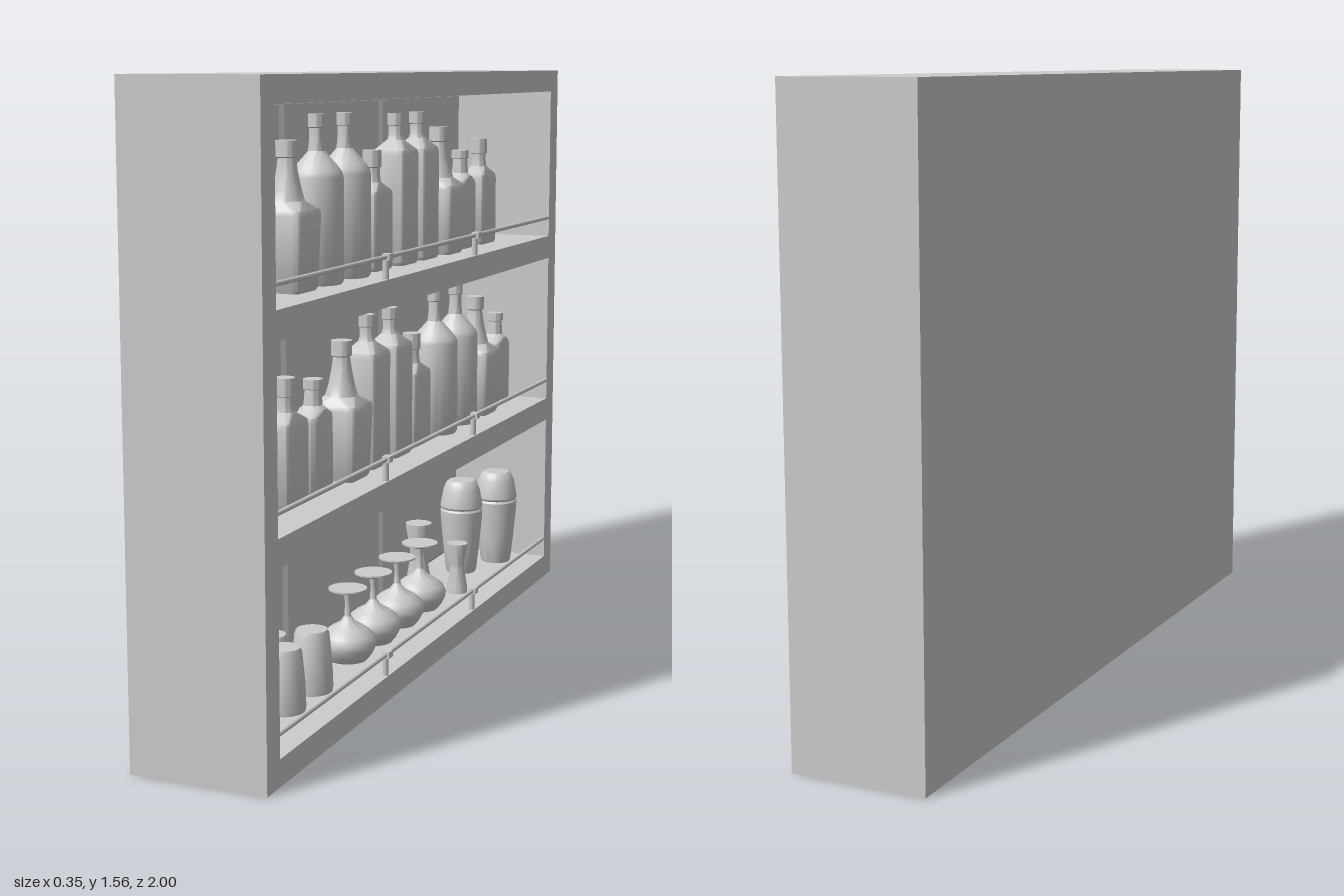
import * as THREE from 'three';
import { toCreasedNormals } from 'three/addons/utils/BufferGeometryUtils.js';

const grey = new THREE.MeshStandardMaterial({ color: 0xcccccc });
grey.name = 'plain grey';

// Stacks superelliptic rings [halfZ, halfX, y, exponent] into a capped solid.
function loft(rings, n = 32) {
  const pos = [], idx = [];
  const power = (v, e) => Math.sign(v) * Math.pow(Math.abs(v), 2 / e);
  for (const [hz, hx, y, e] of rings) {
    for (let i = 0; i < n; i++) {
      const a = (i / n) * Math.PI * 2;
      pos.push(hx * power(Math.cos(a), e), y, hz * power(Math.sin(a), e));
    }
  }
  const last = rings.length - 1;
  pos.push(0, rings[0][2], 0, 0, rings[last][2], 0);
  const bottom = rings.length * n, top = bottom + 1;
  for (let i = 0; i < n; i++) {
    const j = (i + 1) % n;
    for (let r = 0; r < last; r++) {
      const a = r * n + i, b = r * n + j;
      idx.push(a, a + n, b, b, a + n, b + n);
    }
    idx.push(bottom, i, j, top, last * n + j, last * n + i);
  }
  const g = new THREE.BufferGeometry();
  g.setAttribute('position', new THREE.Float32BufferAttribute(pos, 3));
  g.setIndex(idx);
  return toCreasedNormals(g, 0.6);
}

function lathe(points, segments = 32) {
  const g = new THREE.LatheGeometry(points.map(([r, y]) => new THREE.Vector2(r, y)), segments);
  return toCreasedNormals(g, 0.6);
}

// A bottle: body of a given half width, depth and squareness, then round neck rings [radius, y].
function bottle(hz, hx, e, shoulder, neck, foot = 1) {
  const body = [
    [hz * 0.92 * foot, hx * 0.92 * foot, 0, e], [hz * foot, hx * foot, 0.008, e],
    [hz, hx, shoulder - 0.012, e], [hz * 0.95, hx * 0.95, shoulder, e],
  ];
  return loft([...body, ...neck.map(([r, y]) => [r, r, y, 2])]);
}

export function createModel() {
  const model = new THREE.Group();
  const add = (name, geo, x = 0, y = 0, z = 0) => {
    const m = new THREE.Mesh(geo, grey);
    m.name = name;
    m.position.set(x, y, z);
    model.add(m);
    return m;
  };

  // Cabinet: a front with three openings, closed by a back board
  const floors = [0.065, 0.565, 1.065];
  const openH = 0.433, openHalf = 0.935;
  const face = new THREE.Shape();
  face.moveTo(-1, 0).lineTo(1, 0).lineTo(1, 1.56).lineTo(-1, 1.56).closePath();
  for (const y of floors) {
    const hole = new THREE.Path();
    hole.moveTo(-openHalf, y).lineTo(-openHalf, y + openH)
      .lineTo(openHalf, y + openH).lineTo(openHalf, y).closePath();
    face.holes.push(hole);
  }
  const frame = new THREE.ExtrudeGeometry(face, { depth: 0.3, bevelEnabled: false });
  frame.rotateY(Math.PI / 2);
  add('cabinetFrame', frame, -0.13);
  add('backBoard', new THREE.BoxGeometry(0.045, 1.56, 2), -0.1525, 0.78, 0);

  // Bevelled panels lining the back of each compartment
  const panelW = (2 * openHalf) / 3;
  const panel = new THREE.BoxGeometry(0.012, openH, panelW);
  const p = panel.attributes.position;
  for (let i = 0; i < p.count; i++) {
    if (p.getX(i) > 0) {
      p.setY(i, p.getY(i) * 0.93);
      p.setZ(i, p.getZ(i) * 0.95);
    }
  }
  panel.computeVertexNormals();

  // Guard rails with their posts
  const rail = new THREE.CylinderGeometry(0.006, 0.006, 2 * openHalf, 10).rotateX(Math.PI / 2);
  const post = new THREE.CylinderGeometry(0.008, 0.008, 0.05, 12);
  const clip = new THREE.BoxGeometry(0.02, 0.016, 0.024);
  for (const y of floors) {
    for (const k of [-1, 0, 1]) add('backPanel', panel, -0.124, y + openH / 2, k * panelW);
    add('guardRail', rail, 0.164, y + 0.055, 0);
    for (const z of [-0.312, 0.312]) {
      add('railPost', post, 0.16, y + 0.025, z);
      add('railClip', clip, 0.165, y + 0.055, z);
    }
  }

  // Bottle shapes
  const bottles = {
    flask: bottle(0.06, 0.034, 4, 0.188,
      [[0.033, 0.203], [0.023, 0.212], [0.02, 0.25], [0.024, 0.252], [0.024, 0.275]]),
    decanter: bottle(0.064, 0.062, 9, 0.188,
      [[0.041, 0.208], [0.033, 0.235], [0.025, 0.275], [0.021, 0.305], [0.026, 0.308], [0.026, 0.345]], 0.9),
    round: bottle(0.064, 0.064, 2, 0.265,
      [[0.05, 0.28], [0.032, 0.3], [0.02, 0.314], [0.017, 0.345], [0.017, 0.368], [0.02, 0.37], [0.02, 0.4]]),
    square: bottle(0.06, 0.036, 9, 0.2,
      [[0.023, 0.222], [0.02, 0.24], [0.02, 0.258], [0.024, 0.26], [0.024, 0.302]]),
    tall: bottle(0.058, 0.045, 9, 0.296,
      [[0.022, 0.322], [0.018, 0.335], [0.018, 0.358], [0.021, 0.36], [0.021, 0.39]]),
  };
  const rows = [
    [1, [['square', 0.64], ['flask', 0.487], ['decanter', 0.32], ['tall', 0.163], ['tall', 0.012],
      ['square', -0.14], ['round', -0.31], ['round', -0.47], ['decanter', -0.632], ['flask', -0.808]]],
    [2, [['flask', 0.8], ['decanter', 0.62], ['round', 0.46], ['round', 0.298], ['square', 0.13],
      ['tall', -0.025], ['tall', -0.173], ['decanter', -0.332], ['flask', -0.5], ['square', -0.653]]],
  ];
  for (const [level, items] of rows) {
    for (const [kind, z] of items) add(kind + 'Bottle', bottles[kind], 0.045, floors[level], z);
  }

  // Upturned tumblers, staggered in two lines
  const base = floors[0];
  const tumbler = lathe([[0, 0], [0.05, 0], [0.052, 0.012], [0.05, 0.07], [0.043, 0.145], [0.039, 0.156], [0, 0.156]], 16);
  [0.8, 0.722, 0.645, 0.568, 0.49].forEach((z, i) => add('tumbler', tumbler, i % 2 ? -0.035 : 0.04, base, z));

  // Upturned stemmed glasses
  const stemGlass = lathe([[0, 0], [0.05, 0], [0.062, 0.015], [0.072, 0.035], [0.074, 0.05], [0.066, 0.068],
    [0.045, 0.085], [0.02, 0.1], [0.009, 0.115], [0.007, 0.15], [0.011, 0.172], [0.05, 0.185], [0.05, 0.189], [0, 0.189]]);
  for (const z of [0.23, 0.064, -0.102, -0.268]) add('stemGlass', stemGlass, 0.02, base, z);

  // Hourglass measures, one large and one small
  const measure = lathe([[0, 0], [0.03, 0], [0.029, 0.02], [0.019, 0.075], [0.02, 0.085], [0.03, 0.14], [0.03, 0.145], [0, 0.145]]);
  add('largeMeasure', measure, -0.05, base, -0.434).scale.set(1.25, 1.38, 1.25);
  add('smallMeasure', measure, 0.06, base, -0.46);

  // Shakers with tapered lids
  const shaker = lathe([[0, 0], [0.043, 0], [0.046, 0.008], [0.054, 0.08], [0.062, 0.165], [0.063, 0.19], [0.059, 0.196],
    [0.063, 0.202], [0.062, 0.215], [0.054, 0.255], [0.046, 0.274], [0.038, 0.281], [0, 0.281]]);
  add('shaker', shaker, -0.01, base, -0.68);
  add('shaker', shaker, 0.045, base, -0.836);

  return model;
}
